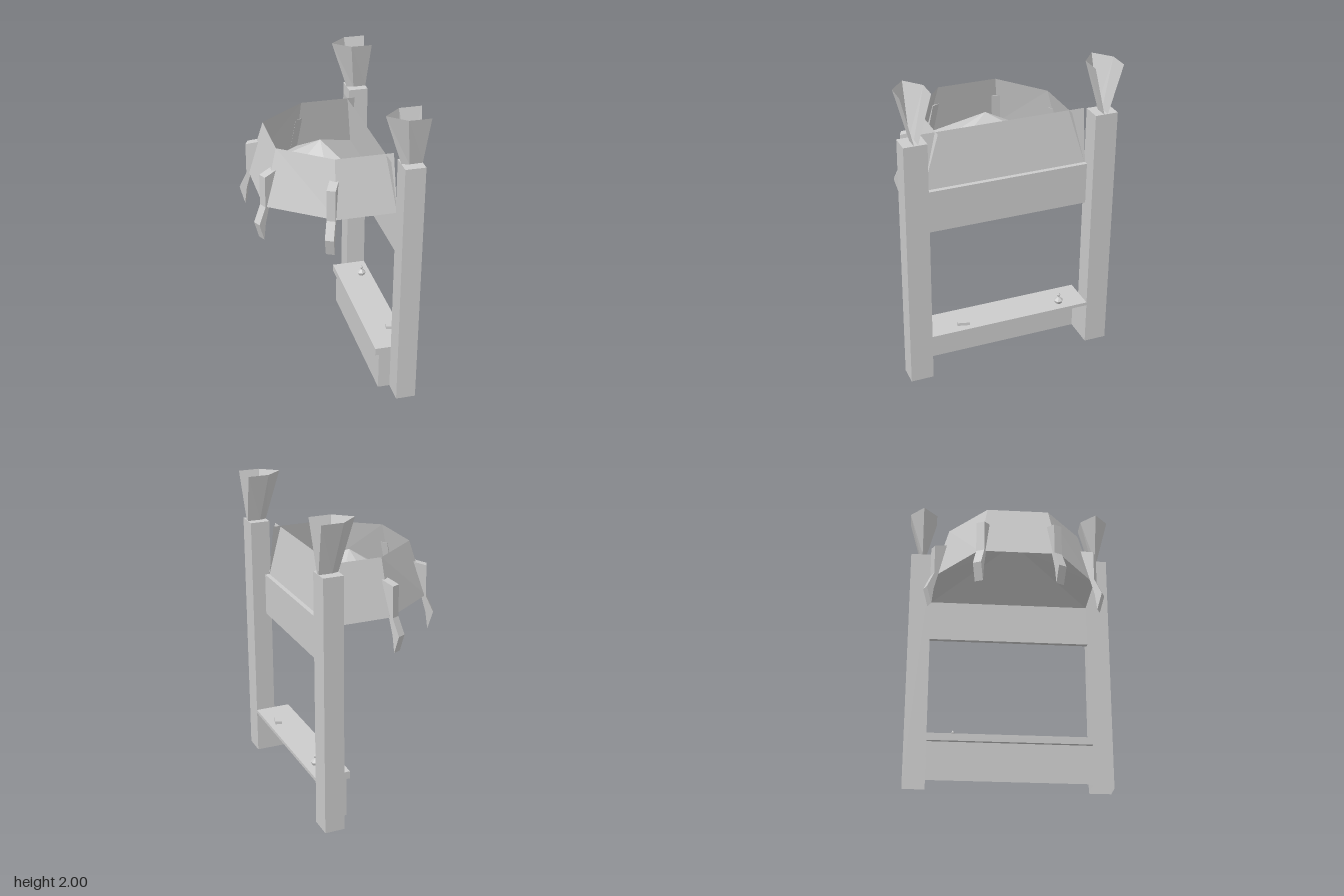
import * as THREE from 'three';

const stone = new THREE.MeshStandardMaterial({ color: 0xcccccc, flatShading: true, side: THREE.DoubleSide });
stone.name = 'lightGrey';

function add(parent, name, geometry) {
  const mesh = new THREE.Mesh(geometry, stone);
  mesh.name = name;
  parent.add(mesh);
  return mesh;
}

// Box from min/max corners; faces listed in "open" are left out (0 +x, 1 -x, 2 +y, 3 -y, 4 +z, 5 -z)
function box(x0, x1, y0, y1, z0, z1, open = []) {
  const g = new THREE.BoxGeometry(x1 - x0, y1 - y0, z1 - z0);
  g.translate((x0 + x1) / 2, (y0 + y1) / 2, (z0 + z1) / 2);
  const index = Array.from(g.index.array).filter((_, i) => !open.includes(Math.floor(i / 6)));
  g.clearGroups();
  g.setIndex(index);
  return g;
}

// Open strip of quads between a lower and an upper line of points
function strip(lower, upper) {
  const pos = [];
  for (let i = 0; i < lower.length - 1; i++) {
    const [a, b, c, d] = [lower[i], lower[i + 1], upper[i + 1], upper[i]];
    pos.push(...a, ...b, ...c, ...a, ...c, ...d);
  }
  const g = new THREE.BufferGeometry();
  g.setAttribute('position', new THREE.Float32BufferAttribute(pos, 3));
  g.computeVertexNormals();
  return g;
}

export function createModel() {
  const model = new THREE.Group();
  model.name = 'fountainGate';

  // Posts, hollow underneath, each with a flared cup open at the back
  for (const s of [-1, 1]) {
    const side = s > 0 ? 'left' : 'right';
    add(model, side + 'Post', box(0.34, 0.47, 0, 1.68, s * 0.62 - 0.075, s * 0.62 + 0.075, [3]));
    const zc = s * 0.615;
    const foot = [[0.47, 0.012], [0.385, 0.015], [0.34, 0], [0.385, -0.015], [0.47, -0.012]];
    const rim = [[0.485, 0.095], [0.345, 0.095], [0.235, 0], [0.345, -0.095], [0.485, -0.095]];
    add(model, side + 'FlaredCup', strip(
      foot.map(([x, z]) => [x, 1.68, zc + z]),
      rim.map(([x, z]) => [x, 2, zc + z])));
  }

  // Cross beam and the leaning back panel above it
  add(model, 'crossBeam', box(0.35, 0.38, 1.03, 1.31, -0.545, 0.545));
  add(model, 'backPanel', strip(
    [[0.35, 1.31, 0.545], [0.35, 1.31, -0.545]],
    [[0.3, 1.665, 0.545], [0.3, 1.665, -0.545]]));

  // Basin wall, narrowing upwards
  const base = [[0.35, 0.54], [-0.035, 0.54], [-0.425, 0.26], [-0.425, -0.26], [-0.035, -0.54], [0.35, -0.54]];
  const top = [[0.35, 0.44], [-0.02, 0.44], [-0.33, 0.2], [-0.33, -0.2], [-0.02, -0.44], [0.35, -0.44]];
  add(model, 'basinWall', strip(
    base.map(([x, z]) => [x, 1.31, z]),
    top.map(([x, z]) => [x, 1.67, z])));

  // Peaked floor inside the basin
  const ring = [...base, base[0]].map(([x, z]) => [x, 1.31, z]);
  const floor = [];
  for (let i = 0; i < ring.length - 1; i++) floor.push(...ring[i], ...ring[i + 1], 0, 1.6, 0);
  const floorGeometry = new THREE.BufferGeometry();
  floorGeometry.setAttribute('position', new THREE.Float32BufferAttribute(floor, 3));
  floorGeometry.computeVertexNormals();
  add(model, 'peakedFloor', floorGeometry);

  // Claws hooked over the basin corners
  const profile = new THREE.Shape([
    [-0.09, 1.54], [0, 1.515], [0, 1.31], [0.05, 1.2], [0.015, 1.085], [0, 1.2], [-0.03, 1.31],
  ].map(([u, y]) => new THREE.Vector2(u, y)));
  for (const s of [-1, 1]) {
    for (const [x, z, angle] of [[-0.43, 0.25, 0.45], [-0.07, 0.545, 1.12]]) {
      const g = new THREE.ExtrudeGeometry(profile, { depth: 0.056, bevelEnabled: false });
      g.translate(0, 0, -0.028);
      const claw = add(model, 'claw', g);
      claw.position.set(x, 0, s * z);
      claw.rotation.y = Math.PI + s * angle;
    }
  }

  // Counter: hollow body, top board and front lip
  add(model, 'counterBody', box(0.26, 0.47, 0, 0.29, -0.545, 0.545, [0, 2, 3]));
  add(model, 'counterTop', box(0.26, 0.47, 0.29, 0.312, -0.545, 0.545));
  add(model, 'counterLip', box(0.235, 0.26, 0.262, 0.312, -0.545, 0.545));

  // Small things on the counter
  const slab = add(model, 'smallSlab', new THREE.BoxGeometry(0.045, 0.02, 0.08));
  slab.position.set(0.4, 0.322, 0.31);
  slab.rotation.y = -0.25;
  const knob = add(model, 'knob', new THREE.LatheGeometry([
    [0, 0.312], [0.022, 0.312], [0.032, 0.333], [0.012, 0.352], [0.006, 0.36], [0.012, 0.374], [0, 0.39],
  ].map(([r, y]) => new THREE.Vector2(r, y)), 6));
  knob.position.set(0.4, 0, -0.37);

  return model;
}
